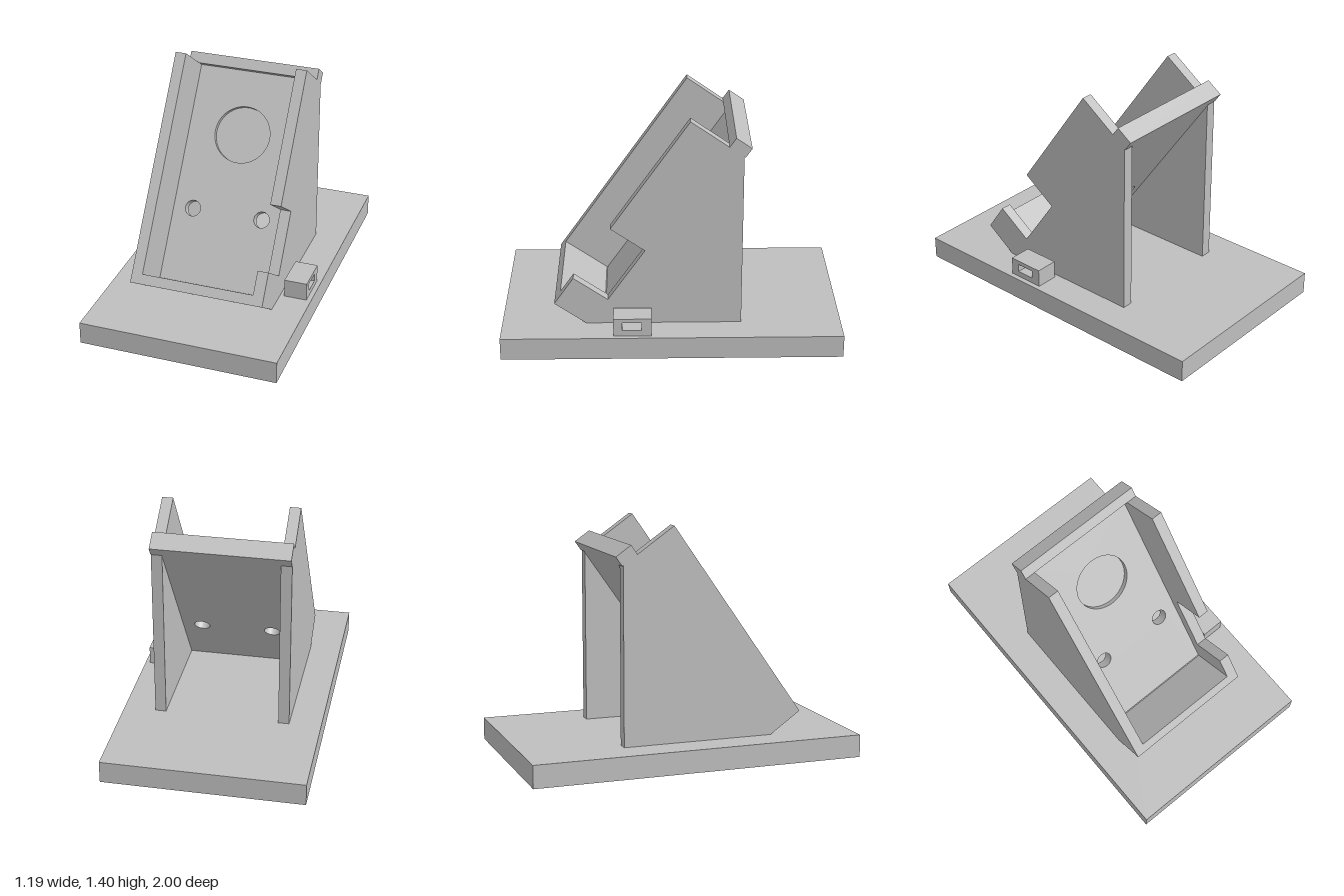
import * as THREE from 'three';

const grey = new THREE.MeshStandardMaterial({ color: 0xbebebe });
grey.name = 'light grey plastic';

const BASE_TOP = 0.135;
const OUTER = 0.405, INNER = 0.34;
const TILT = THREE.MathUtils.degToRad(35);

function add(parent, name, geometry) {
  const mesh = new THREE.Mesh(geometry, grey);
  mesh.name = name;
  parent.add(mesh);
  return mesh;
}

// box given by its limits on each axis
function block(x0, x1, y0, y1, z0, z1) {
  return new THREE.BoxGeometry(x1 - x0, y1 - y0, z1 - z0)
    .translate((x0 + x1) / 2, (y0 + y1) / 2, (z0 + z1) / 2);
}

const polygon = (pts) => new THREE.Shape(pts.map(([a, b]) => new THREE.Vector2(a, b)));
const rect = (a0, a1, b0, b1) => polygon([[a0, b0], [a1, b0], [a1, b1], [a0, b1]]);
const circle = (x, y, r) => new THREE.Path().absarc(x, y, r, 0, Math.PI * 2, true);

function extrude(shape, depth) {
  return new THREE.ExtrudeGeometry(shape, { depth, bevelEnabled: false, curveSegments: 32 });
}

// extrude a (z, y) profile between two x positions
function sideways(shape, x0, x1) {
  return extrude(shape, x1 - x0).rotateY(-Math.PI / 2).translate(x1, 0, 0);
}

// keyhole outline: round opening with a narrow slot towards the front
function keyhole(z) {
  const R = 0.115, r = 0.055, slot = 0.225;
  const a = Math.asin(r / R);
  const path = new THREE.Path();
  path.absarc(0, -z, R, -Math.PI / 2 + a, Math.PI * 1.5 - a, false);
  path.absarc(0, -z - slot, r, Math.PI, Math.PI * 2, false);
  path.closePath();
  return path;
}

export function createModel() {
  const model = new THREE.Group();
  model.name = 'tiltedHolder';

  // base plate: solid top layer over a layer with two keyhole pockets
  const base = new THREE.Group();
  base.name = 'base';
  model.add(base);
  const pocket = 0.07;
  const lower = rect(-0.595, 0.595, -1, 1);
  lower.holes.push(keyhole(0.56), keyhole(-0.84));
  add(base, 'baseLowerLayer', extrude(lower, pocket).rotateX(-Math.PI / 2));
  add(base, 'baseUpperLayer', block(-0.595, 0.595, pocket, BASE_TOP, -1, 1));

  // side walls, the left one with a notch in its sloping edge
  const bottom = [0.69, 0.265], top = [-0.105, 1.4];
  const rest = [top, [-0.41, 1.187], [-0.41, BASE_TOP], [0.505, BASE_TOP]];
  const notch = [[0.575, 0.43], [0.375, 0.29], [0.155, 0.605], [0.355, 0.745]];
  add(model, 'leftWall', sideways(polygon([bottom, ...notch, ...rest].reverse()), INNER, OUTER));
  add(model, 'rightWall', sideways(polygon([bottom, ...rest].reverse()), -OUTER, -INNER));

  // tilted tray: local y runs up the slope, local z points out of the tray
  const tray = new THREE.Group();
  tray.name = 'tray';
  tray.position.set(0, bottom[1], bottom[0]);
  tray.rotation.x = -TILT;
  model.add(tray);
  const floorFront = -0.317, floorMid = -0.348, floorBack = -0.38;
  const length = 1.386, ledge = 0.06;

  // floor with two through holes and a shallow round recess
  const floorShape = (recessed) => {
    const s = rect(-INNER, INNER, ledge, length);
    for (const side of [-1, 1]) s.holes.push(circle(side * 0.218, 0.51, 0.048));
    if (recessed) s.holes.push(circle(0, 0.997, 0.172));
    return s;
  };
  add(tray, 'floorFrontLayer', extrude(floorShape(true), floorFront - floorMid).translate(0, 0, floorMid));
  add(tray, 'floorBackLayer', extrude(floorShape(false), floorMid - floorBack).translate(0, 0, floorBack));

  // bottom ledge and top lip
  add(tray, 'bottomLedge', block(-INNER, INNER, 0, ledge, floorFront, 0));
  add(tray, 'topLip', block(-OUTER, OUTER, length, length + 0.066, floorBack, -0.269));

  // small cable guide with a rectangular hole
  const guide = rect(0.12, 0.342, BASE_TOP, 0.245);
  guide.holes.push(rect(0.178, 0.29, 0.17, 0.22));
  add(model, 'cableGuide', sideways(guide, 0.43, 0.567));

  return model;
}
